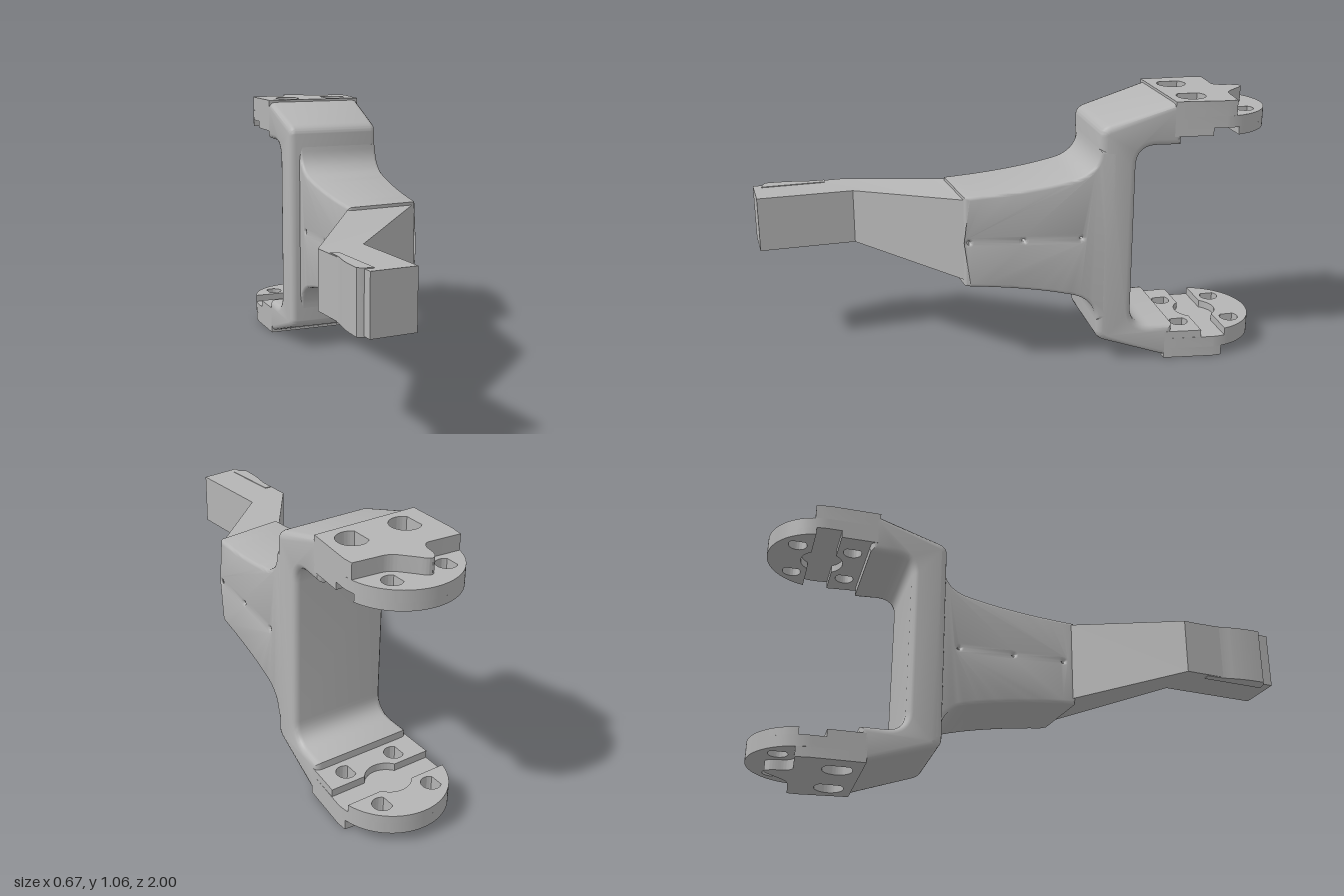
import * as THREE from 'three';
import { toCreasedNormals } from 'three/addons/utils/BufferGeometryUtils.js';

const grey = new THREE.MeshStandardMaterial({ color: 0xb4b4b4 });
grey.name = 'grey metal';

const H = 1.06; // overall height
const rightEdge = (s) => 0.25 + 0.1 * s; // slanted +x side, s = -z
const CX = 0.11, CS = 0.78, R = 0.22; // ear centre and radius

function part(group, name, geometry) {
  const mesh = new THREE.Mesh(toCreasedNormals(geometry, 0.6), grey);
  mesh.name = name;
  group.add(mesh);
}

// Side profile (s, y) swept from x = left to the slanted side, edges rounded
function sweepAcross(shape, left, bevel, rule) {
  const depth = 0.4 - 2 * bevel;
  const geo = new THREE.ExtrudeGeometry(shape, {
    depth, bevelThickness: bevel, bevelSize: bevel, bevelOffset: -bevel,
    bevelSegments: 3, curveSegments: 10,
  });
  geo.rotateY(Math.PI / 2);
  const p = geo.attributes.position;
  for (let i = 0; i < p.count; i++) {
    const x = p.getX(i), z = p.getZ(i);
    const nx = x < depth / 2 ? left + x + bevel : rightEdge(-z) - (depth + bevel - x);
    p.setX(i, nx);
    if (rule) p.setZ(i, rule(nx, z));
  }
  return geo;
}

// Plan shape (x, s) raised from y0 to y1
function slab(shape, y0, y1) {
  const geo = new THREE.ExtrudeGeometry(shape, { depth: y1 - y0, bevelEnabled: false, curveSegments: 32 });
  return geo.rotateX(-Math.PI / 2).translate(0, y0, 0);
}

// Teardrop hole with its tip towards -x
function teardrop(x, s, r) {
  const path = new THREE.Path();
  path.moveTo(x - r * 1.4, s);
  path.absarc(x, s, r, -Math.PI * 0.75, Math.PI * 0.75, false);
  path.closePath();
  return path;
}
const holePair = (s, r) => [0, 0.22].map((x) => teardrop(x, s, r));

// Fork: rear wall with two short arms
function yokeShape() {
  const s = new THREE.Shape();
  s.moveTo(0.3, 0.13);
  s.quadraticCurveTo(0.3, 0.1, 0.335, 0.087);
  s.lineTo(0.61, 0);
  s.lineTo(0.61, 0.145);
  s.lineTo(0.52, 0.145);
  s.quadraticCurveTo(0.44, 0.145, 0.44, 0.225);
  s.lineTo(0.44, 0.81);
  s.quadraticCurveTo(0.44, 0.89, 0.52, 0.89);
  s.lineTo(0.61, 0.89);
  s.lineTo(0.61, H);
  s.lineTo(0.335, 0.973);
  s.quadraticCurveTo(0.3, 0.96, 0.3, 0.93);
  s.closePath();
  return s;
}

// Flared neck with three cross pin holes
function neckShape() {
  const s = new THREE.Shape();
  s.moveTo(-0.25, 0.35);
  s.quadraticCurveTo(0.02, 0.335, 0.19, 0.295);
  s.quadraticCurveTo(0.295, 0.275, 0.3, 0.18);
  s.lineTo(0.37, 0.18);
  s.lineTo(0.37, 0.88);
  s.lineTo(0.3, 0.88);
  s.quadraticCurveTo(0.295, 0.785, 0.19, 0.765);
  s.quadraticCurveTo(0.02, 0.725, -0.25, 0.71);
  s.closePath();
  for (const a of [-0.2, 0.01, 0.235]) {
    s.holes.push(new THREE.Path().absarc(a, 0.53, 0.005, 0, Math.PI * 2, true));
  }
  return s;
}

// Round-ended ear plate
function earShape() {
  const s = new THREE.Shape();
  s.moveTo(CX - R, 0.58);
  s.lineTo(CX - R, CS);
  s.absarc(CX, CS, R, Math.PI, 0, true);
  s.lineTo(rightEdge(0.58), 0.58);
  s.closePath();
  s.holes.push(...holePair(0.67, 0.037), ...holePair(0.89, 0.037));
  return s;
}

// Outer pad ending in a wavy step, with wide pockets
function padShape() {
  const s = new THREE.Shape();
  s.moveTo(CX - R, 0.58);
  s.lineTo(CX - R, 0.78);
  s.lineTo(-0.102, 0.838);
  s.lineTo(0.03, 0.828);
  s.quadraticCurveTo(0.055, 0.835, 0.06, 0.87);
  s.quadraticCurveTo(0.065, 0.925, 0.09, 0.928);
  s.quadraticCurveTo(0.105, 0.928, 0.125, 0.9);
  s.lineTo(0.17, 0.85);
  s.quadraticCurveTo(0.19, 0.83, 0.22, 0.828);
  s.lineTo(0.327, 0.818);
  s.lineTo(0.33, 0.78);
  s.lineTo(rightEdge(0.58), 0.58);
  s.closePath();
  s.holes.push(...holePair(0.67, 0.057));
  return s;
}

// Inner facing, split by a cross groove with a round centre recess
function facingShapes() {
  const g = 0.05, r = 0.085, a = Math.asin(g / r), b = Math.asin(g / R);
  const front = new THREE.Shape();
  front.moveTo(CX - R, 0.58);
  front.lineTo(CX - R, CS - g);
  front.absarc(CX, CS, r, Math.PI + a, Math.PI * 2 - a, false);
  front.lineTo(rightEdge(CS - g), CS - g);
  front.lineTo(rightEdge(0.58), 0.58);
  front.closePath();
  front.holes.push(...holePair(0.67, 0.037));
  const back = new THREE.Shape();
  back.absarc(CX, CS, R, Math.PI - b, b, true);
  back.absarc(CX, CS, r, a, Math.PI - a, false);
  back.closePath();
  back.holes.push(...holePair(0.89, 0.037));
  return [front, back];
}

// Straight-sided loft through four-cornered sections: [xl, zl, xr, zr, y0, y1]
function loft(sections) {
  const rings = sections.map(([xl, zl, xr, zr, y0, y1]) => [
    [xl, y0, zl], [xr, y0, zr], [xr, y1, zr], [xl, y1, zl],
  ]);
  const pos = [];
  const quad = (a, b, c, d) => pos.push(...a, ...b, ...c, ...a, ...c, ...d);
  for (let i = 0; i < rings.length - 1; i++) {
    for (let k = 0; k < 4; k++) {
      const n = (k + 1) % 4;
      quad(rings[i][k], rings[i][n], rings[i + 1][n], rings[i + 1][k]);
    }
  }
  const last = rings[rings.length - 1], first = rings[0];
  quad(...last);
  quad(first[3], first[2], first[1], first[0]);
  const geo = new THREE.BufferGeometry();
  geo.setAttribute('position', new THREE.Float32BufferAttribute(pos, 3));
  return geo;
}

// Contoured plate on the -x side of the arm tip
function gripShape() {
  const s = new THREE.Shape();
  s.moveTo(-0.295, -0.71);
  s.lineTo(-0.325, -0.71);
  s.quadraticCurveTo(-0.318, -0.77, -0.328, -0.82);
  s.quadraticCurveTo(-0.336, -0.88, -0.33, -0.95);
  s.lineTo(-0.305, -0.962);
  s.lineTo(-0.275, -0.965);
  s.closePath();
  return s;
}

export function createModel() {
  const model = new THREE.Group();
  model.name = 'forkBracket';

  part(model, 'yoke', sweepAcross(yokeShape(), -0.11, 0.025));
  // the neck's front end is cut at a slight angle
  part(model, 'neck', sweepAcross(neckShape(), -0.07, 0.014,
    (x, z) => (z > 0.225 ? z - 0.12 * (x + 0.07) : z)));

  // Upper and lower ears: pad, plate and grooved facing
  const ears = [
    ['upper', [1.0, 1.06], [0.955, 1.0], [0.925, 0.955]],
    ['lower', [0, 0.04], [0.04, 0.085], [0.085, 0.115]],
  ];
  for (const [side, pad, plate, facing] of ears) {
    const ear = new THREE.Group();
    ear.name = side + 'Ear';
    part(ear, side + 'Pad', slab(padShape(), ...pad));
    part(ear, side + 'Plate', slab(earShape(), ...plate));
    part(ear, side + 'Facing', slab(facingShapes(), ...facing));
    model.add(ear);
  }

  // Cranked arm reaching forward
  part(model, 'arm', loft([
    [-0.068, 0.235, 0.226, 0.2, 0.37, 0.7],
    [-0.335, 0.62, -0.16, 0.605, 0.425, 0.645],
    [-0.305, 1.0, -0.132, 0.985, 0.425, 0.645],
  ]));
  part(model, 'gripPlate', slab(gripShape(), 0.422, 0.648));
  return model;
}
